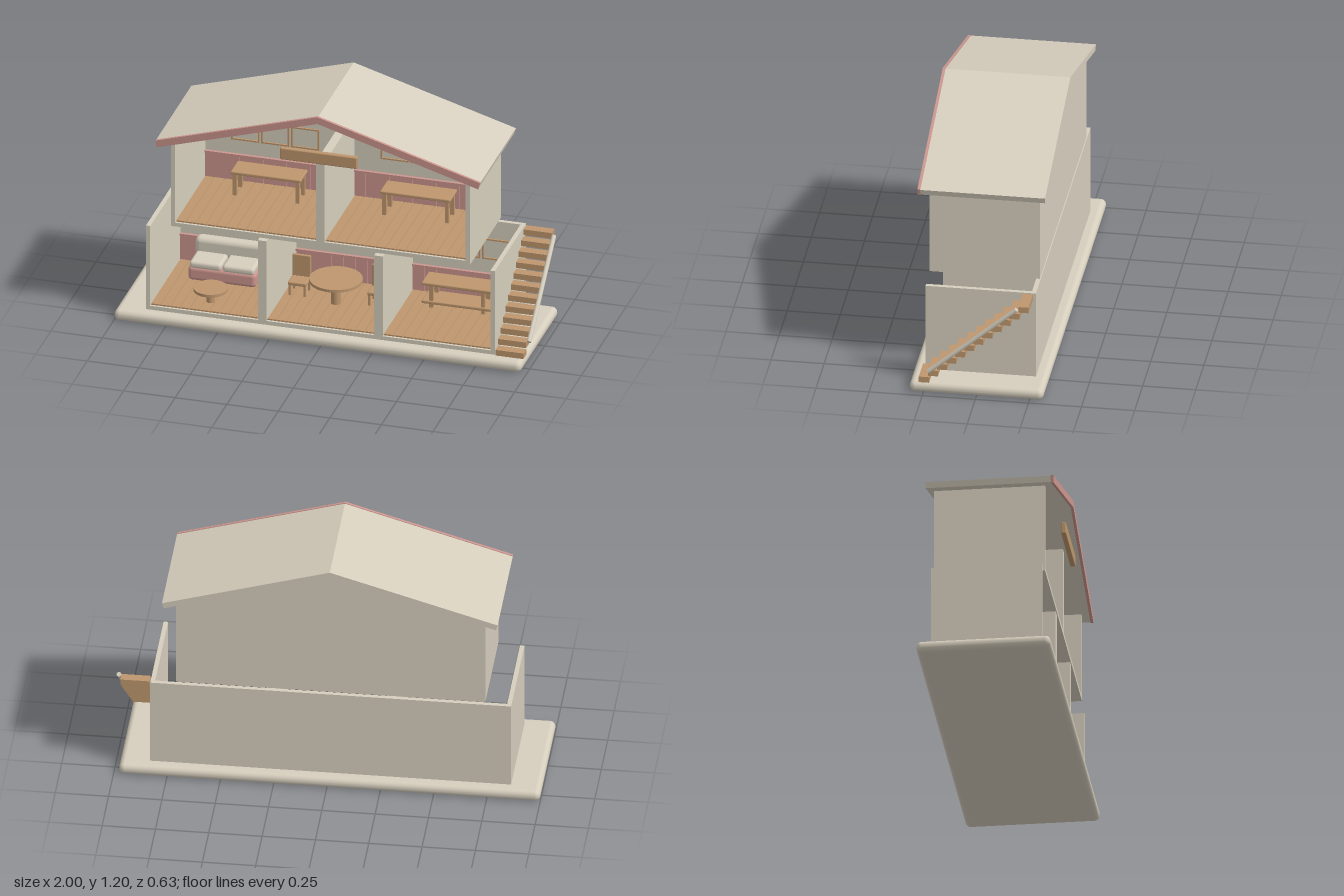
import * as THREE from 'three';
import { RoundedBoxGeometry } from 'three/addons/geometries/RoundedBoxGeometry.js';

const mat = (name, color) => {
  const m = new THREE.MeshStandardMaterial({ color });
  m.name = name;
  return m;
};

export function createModel() {
  const cream = mat('cream', 0xd6cebd);
  const pink = mat('dusty pink', 0xcc968e);
  const wood = mat('wood', 0xbd966d);

  const model = new THREE.Group();
  model.name = 'dollhouse';
  const house = new THREE.Group();
  house.name = 'house';
  house.position.x = -0.0125;
  model.add(house);

  const add = (parent, name, geo, material, x = 0, y = 0, z = 0) => {
    const m = new THREE.Mesh(geo, material);
    m.name = name;
    m.position.set(x, y, z);
    parent.add(m);
    return m;
  };
  // box given by its minimum and maximum corners
  const box = (parent, name, material, x0, x1, y0, y1, z0, z1, r = 0) => {
    const s = [x1 - x0, y1 - y0, z1 - z0];
    const geo = r ? new RoundedBoxGeometry(...s, 3, r) : new THREE.BoxGeometry(...s);
    return add(parent, name, geo, material, (x0 + x1) / 2, (y0 + y1) / 2, (z0 + z1) / 2);
  };
  const group = (parent, name, x = 0, y = 0, z = 0) => {
    const g = new THREE.Group();
    g.name = name;
    g.position.set(x, y, z);
    parent.add(g);
    return g;
  };
  const extrude = (pts, depth) => new THREE.ExtrudeGeometry(
    new THREE.Shape(pts.map(p => new THREE.Vector2(...p))), { depth, bevelEnabled: false });

  // ground plate
  box(house, 'base', cream, -0.9875, 0.9875, 0, 0.055, -0.315, 0.315, 0.026);

  // open-fronted room: y = 0 is the underside of its floor slab
  const H = 0.435, D = 0.26, T = 0.021, FLOOR = 0.027;
  function room(name, x, y, width, planks) {
    const g = group(house, name, x, y);
    const w = width / 2, inner = w - T;
    box(g, 'floorSlab', cream, -w, w, 0, 0.02, -D, D);
    box(g, 'backWall', cream, -inner, inner, 0.02, H, -D, -D + T);
    for (const s of [-1, 1])
      box(g, 'sideWall', cream, s * (w - T / 2) - T / 2, s * (w - T / 2) + T / 2, 0.02, H, -D, D);

    // floor planks over a thin backing
    box(g, 'floorBacking', wood, -inner, inner, 0.02, 0.023, -D + T, D - 0.012);
    const pw = 2 * inner / planks;
    for (let i = 0; i < planks; i++) {
      const px = -inner + i * pw;
      box(g, 'floorPlank', wood, px + 0.002, px + pw - 0.002, 0.022, FLOOR, -D + T, D - 0.012);
    }
    // wall panelling with a ledge
    const boards = planks - 2, bw = 2 * inner / boards;
    box(g, 'panelBacking', pink, -inner, inner, 0.023, 0.155, -D + T, -D + T + 0.004);
    for (let i = 0; i < boards; i++) {
      const px = -inner + i * bw;
      box(g, 'panelBoard', pink, px + 0.0015, px + bw - 0.0015, FLOOR, 0.153, -D + T, -D + T + 0.007);
    }
    box(g, 'panelRail', pink, -inner, inner, 0.153, 0.163, -D + T, -D + T + 0.016);

    // three window frames
    const zf = -D + T, hw = 0.068, y0 = 0.236, y1 = 0.342, t = 0.007;
    for (const i of [-1, 0, 1]) {
      const f = group(g, 'windowFrame', i * 0.145);
      for (const s of [-1, 1])
        box(f, 'frameSide', wood, s * (hw - t / 2) - t / 2, s * (hw - t / 2) + t / 2, y0, y1, zf, zf + 0.009);
      box(f, 'frameBottom', wood, -hw + t, hw - t, y0, y0 + t, zf, zf + 0.009);
      box(f, 'frameTop', wood, -hw + t, hw - t, y1 - t, y1, zf, zf + 0.009);
    }
    return g;
  }

  const ground = [-1, 0, 1].map((i, n) =>
    room(['lounge', 'diningRoom', 'workRoom'][n], i * 0.564, 0.055, 0.564, 11));
  const upper = [-1, 1].map(s => room('upperRoom', s * 0.3625, 0.505, 0.725, 14));

  // round pedestal table standing on the room floor
  function roundTable(parent, name, z, r, top, stem) {
    const t = group(parent, name, 0, 0, z);
    add(t, 'tableTop', new THREE.CylinderGeometry(r, r, 0.014, 40), wood, 0, top - 0.007, 0);
    add(t, 'pedestal', new THREE.CylinderGeometry(stem, stem, top - 0.014 - FLOOR, 24), wood,
      0, (top - 0.014 + FLOOR) / 2, 0);
  }
  roundTable(ground[0], 'coffeeTable', 0.15, 0.08, 0.1, 0.02);
  roundTable(ground[1], 'diningTable', 0, 0.125, 0.155, 0.024);

  // sofa
  const sofa = group(ground[0], 'sofa', 0, 0, -0.12);
  box(sofa, 'sofaBase', pink, -0.165, 0.165, FLOOR, 0.1, -0.09, 0.09, 0.02);
  box(sofa, 'backrest', cream, -0.165, 0.165, 0.1, 0.195, -0.09, -0.025, 0.025);
  for (const s of [-1, 1])
    box(sofa, 'seatCushion', cream, s * 0.08 - 0.077, s * 0.08 + 0.077, 0.092, 0.128, -0.04, 0.092, 0.015);

  // dining chairs
  for (const s of [-1, 1]) {
    const c = group(ground[1], 'chair', s * 0.193, 0, -0.055);
    box(c, 'seat', wood, -0.045, 0.045, 0.08, 0.098, -0.045, 0.045, 0.005);
    box(c, 'chairBack', wood, -0.045, 0.045, 0.095, 0.207, -0.045, -0.03, 0.005);
    for (const lx of [-1, 1]) for (const lz of [-1, 1])
      box(c, 'chairLeg', wood, lx * 0.036 - 0.005, lx * 0.036 + 0.005, FLOOR, 0.082,
        lz * 0.036 - 0.005, lz * 0.036 + 0.005);
  }

  // long tables; the lower one has a shelf
  function longTable(parent, name, top, shelf) {
    const t = group(parent, name, 0, 0, -0.13);
    box(t, 'tableTop', wood, -0.17, 0.17, top - 0.016, top, -0.06, 0.06, 0.005);
    if (shelf) box(t, 'shelf', wood, -0.17, 0.17, 0.046, 0.062, -0.06, 0.06, 0.005);
    const lx = shelf ? 0.125 : 0.152;
    for (const sx of [-1, 1]) for (const sz of [-1, 1])
      box(t, 'tableLeg', wood, sx * lx - 0.009, sx * lx + 0.009, FLOOR, top - 0.014,
        sz * 0.045 - 0.009, sz * 0.045 + 0.009);
  }
  longTable(ground[2], 'shelfTable', 0.155, true);
  upper.forEach(r => longTable(r, 'longTable', 0.152, false));

  // back gable
  add(house, 'backGable', extrude([[-0.725, 0.94], [0.725, 0.94], [0, 1.164]], 0.02), cream, 0, 0, -0.26);

  // pitched roof with a coloured front trim
  const chevron = g => [[0, 1.192 + g], [-0.787, 0.96 + g], [-0.779, 0.932 - g],
    [0, 1.163 - g], [0.779, 0.932 - g], [0.787, 0.96 + g]];
  add(house, 'roof', extrude(chevron(0), 0.588), cream, 0, 0, -0.294);
  add(house, 'roofTrim', extrude(chevron(0.003), 0.013), pink, 0, 0, 0.294);

  // plain board under the ridge
  box(house, 'frontBoard', wood, -0.187, 0.187, 0.943, 1.003, 0.27, 0.294, 0.006);

  // floating outside stairs
  const stairs = group(house, 'stairs', 0.92);
  for (let i = 0; i < 12; i++) {
    const y = 0.057 + i * 0.0365, z = 0.27 - i * 0.0426;
    box(stairs, 'step', wood, -0.068, 0.068, y, y + 0.029, z - 0.048, z);
  }
  // handrail
  const rail = new THREE.LineCurve3(new THREE.Vector3(0, 0.125, 0.222), new THREE.Vector3(0, 0.48, -0.192));
  const railMesh = add(stairs, 'handrail',
    new THREE.CylinderGeometry(0.011, 0.011, rail.getLength(), 16), cream);
  railMesh.position.copy(rail.getPoint(0.5)).setX(0.081);
  railMesh.quaternion.setFromUnitVectors(new THREE.Vector3(0, 1, 0), rail.getTangent(0));

  return model;
}
